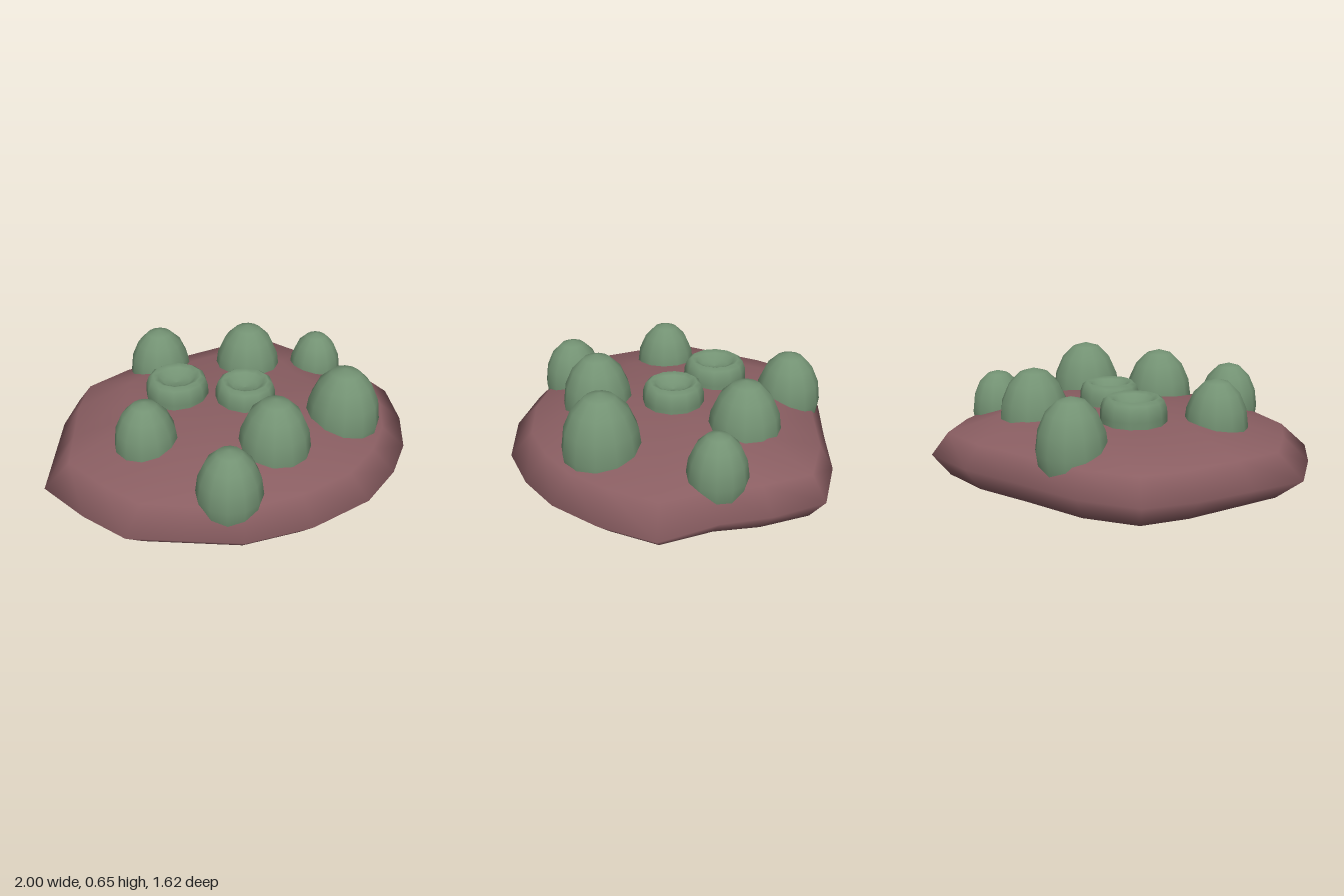
import * as THREE from 'three';
import { mergeVertices } from 'three/addons/utils/BufferGeometryUtils.js';

const brown = new THREE.MeshStandardMaterial({ color: 0x8a5e62 });
brown.name = 'dusty brown';
const green = new THREE.MeshStandardMaterial({ color: 0x739273 });
green.name = 'sage green';

// Rim of the slab as [x, z], from the -x tip round through +z
const RIM = [
  [-1, -0.02], [-0.9, 0.26], [-0.78, 0.49], [-0.55, 0.625], [-0.32, 0.76],
  [0.01, 0.805], [0.34, 0.76], [0.58, 0.63], [0.76, 0.47], [0.9, 0.25],
  [1, -0.02], [0.85, -0.28], [0.78, -0.51], [0.65, -0.75], [0.35, -0.81],
  [0.03, -0.8], [-0.32, -0.8], [-0.6, -0.72], [-0.75, -0.52], [-0.88, -0.26],
];

// Flattened sphere whose rings follow the irregular rim, blunter at the back
function slabGeometry() {
  const n = RIM.length, rows = 6;
  const geo = new THREE.SphereGeometry(1, n, rows);
  const pos = geo.attributes.position;
  for (let row = 0; row <= rows; row++) {
    const v = (row / rows) * Math.PI;
    const s = Math.max(0, Math.sin(v));
    for (let i = 0; i <= n; i++) {
      const [x, z] = RIM[i % n];
      const pole = row === 0 || row === rows;
      const k = pole ? 0 : Math.pow(s, 1 - 0.4 * Math.max(0, -z / 0.8));
      pos.setXYZ(row * (n + 1) + i, x * k, 0.222 + 0.22 * Math.cos(v), z * k);
    }
  }
  geo.deleteAttribute('uv');
  geo.deleteAttribute('normal');
  const merged = mergeVertices(geo);
  merged.computeVertexNormals();
  return merged;
}

// Upright egg-shaped bump sunk into the slab
function bump(x, z, r, top) {
  const mesh = new THREE.Mesh(new THREE.SphereGeometry(1, 12, 8), green);
  mesh.scale.set(r, 1.5 * r, r);
  mesh.position.set(x, top - 1.5 * r, z);
  return mesh;
}

// Short round stub with a rounded lip and dished top
function crater(x, z, r, top) {
  const profile = [
    [0.96, -0.25], [1, -0.09], [0.98, -0.05], [0.9, -0.015],
    [0.76, 0], [0.6, -0.01], [0.42, -0.035], [0, -0.045],
  ].map(([k, y]) => new THREE.Vector2(k * r, y));
  const mesh = new THREE.Mesh(new THREE.LatheGeometry(profile, 12), green);
  mesh.position.set(x, top, z);
  return mesh;
}

export function createModel() {
  const model = new THREE.Group();
  model.name = 'bumpySlab';

  const slab = new THREE.Mesh(slabGeometry(), brown);
  slab.name = 'slab';
  model.add(slab);

  // Bumps: x, z, radius, top height
  [
    [-0.14, -0.61, 0.168, 0.61],
    [0.29, -0.38, 0.178, 0.645],
    [0.66, -0.26, 0.142, 0.565],
    [0.49, 0.28, 0.19, 0.655],
    [0.045, 0.365, 0.178, 0.65],
    [-0.29, 0.55, 0.157, 0.585],
    [-0.495, 0.06, 0.157, 0.615],
  ].forEach((b, i) => {
    const mesh = bump(...b);
    mesh.name = `bump${i + 1}`;
    model.add(mesh);
  });

  // Dished stubs in the middle
  [
    [-0.205, -0.225, 0.163, 0.54],
    [0.09, -0.025, 0.155, 0.538],
  ].forEach((c, i) => {
    const mesh = crater(...c);
    mesh.name = `dishedStub${i + 1}`;
    model.add(mesh);
  });

  return model;
}
